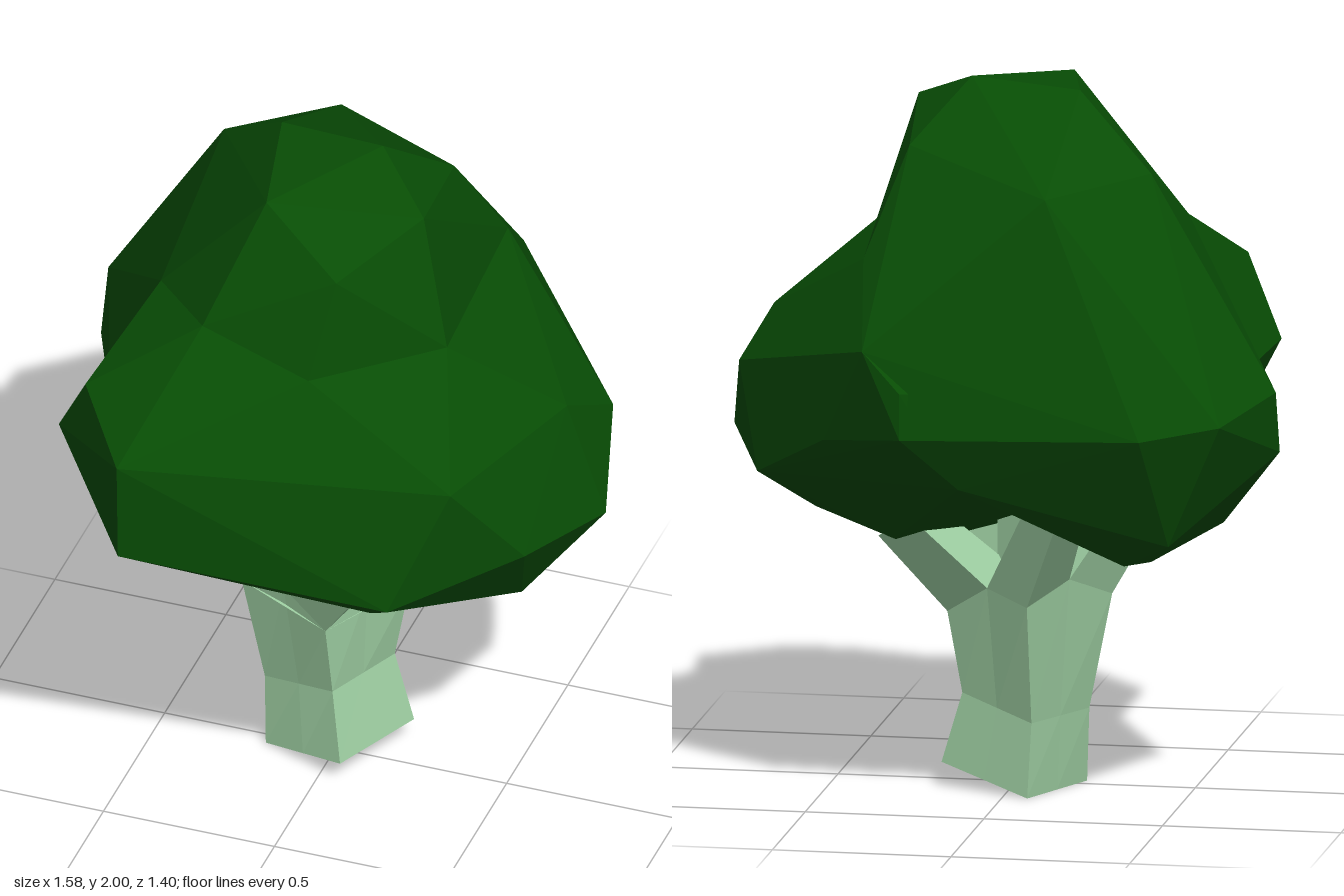
import * as THREE from 'three';
import { ConvexGeometry } from 'three/addons/geometries/ConvexGeometry.js';

const V = (p) => new THREE.Vector3(...p);

// Skin a stack of equal rings (counterclockwise from above), capping both ends.
function loft(rings) {
  const pos = [];
  const tri = (...pts) => pts.forEach((p) => pos.push(p.x, p.y, p.z));
  const n = rings[0].length;
  for (let r = 0; r < rings.length - 1; r++) {
    for (let i = 0; i < n; i++) {
      const j = (i + 1) % n, lo = rings[r], hi = rings[r + 1];
      tri(lo[i], lo[j], hi[j]);
      tri(lo[i], hi[j], hi[i]);
    }
  }
  const first = rings[0], last = rings[rings.length - 1];
  for (let i = 1; i < n - 1; i++) {
    tri(first[0], first[i + 1], first[i]);
    tri(last[0], last[i], last[i + 1]);
  }
  const g = new THREE.BufferGeometry();
  g.setAttribute('position', new THREE.Float32BufferAttribute(pos, 3));
  g.computeVertexNormals();
  return g;
}

export function createModel() {
  const model = new THREE.Group();
  model.name = 'broccoli';
  const green = new THREE.MeshStandardMaterial({ color: 0x084d05, flatShading: true });
  const pale = new THREE.MeshStandardMaterial({ color: 0x9ccca0, flatShading: true });
  const add = (name, geometry, material, parent = model) => {
    const mesh = new THREE.Mesh(geometry, material);
    mesh.name = name;
    parent.add(mesh);
  };

  // Crown: two faceted lumps that overlap and leave creases between them
  const crown = new THREE.Group();
  crown.name = 'crown';
  model.add(crown);

  const tallLump = [
    [-0.2, 1.98, -0.12], [0.11, 2, -0.08], [0.29, 1.91, 0.09], [-0.12, 1.96, 0.23],
    [0.12, 1.81, 0.33], [0.07, 1.53, 0.42], [0.39, 1.56, 0.18], [-0.25, 1.62, 0.39],
    [-0.45, 1.58, 0.17], [-0.43, 1.79, -0.29], [-0.18, 1.76, -0.55], [0.25, 1.84, -0.27],
    [0.35, 1.55, -0.43], [0.31, 1.34, -0.67], [0.2, 1.1, -0.7], [-0.47, 1.12, -0.7],
    [-0.68, 1.15, -0.61], [-0.79, 1.2, -0.35], [-0.79, 1.02, -0.29], [-0.62, 0.8, -0.22],
    [-0.45, 0.72, -0.4], [-0.37, 0.7, -0.38], [-0.52, 0.79, -0.52], [0.05, 0.95, -0.62],
    [-0.57, 1.2, 0.25], [-0.5, 0.95, 0.25],
  ];
  const wideLump = [
    [-0.39, 1.31, 0.7], [-0.39, 1.01, 0.69], [-0.67, 1.19, 0.39], [-0.56, 1.41, 0.48],
    [0.5, 1.27, 0.46], [0.35, 0.91, 0.56], [0.66, 1, 0.3], [0.79, 0.98, 0],
    [0.68, 1.32, 0.01], [0.74, 1.2, -0.2], [0.68, 0.9, -0.25], [0.58, 0.73, 0.1],
    [0.28, 0.65, 0.04], [0.2, 0.68, 0.27], [-0.49, 0.84, 0.38], [0.39, 1.56, 0.18],
    [0.07, 1.53, 0.42], [-0.25, 1.62, 0.39], [-0.45, 1.58, 0.17], [0.35, 1.55, -0.43],
    [0.31, 1.34, -0.67], [0.2, 1.23, -0.7], [0.2, 1.1, -0.7], [0.05, 0.95, -0.62],
    [0.45, 1.05, -0.5], [0.05, 0.84, -0.4], [0.3, 0.72, -0.23],
    [-0.64, 1.18, -0.1], [-0.55, 0.92, -0.1],
  ];
  add('tallCrownLump', new ConvexGeometry(tallLump.map(V)), green, crown);
  add('wideCrownLump', new ConvexGeometry(wideLump.map(V)), green, crown);

  // Stalk: four-sided, cut at a slant, flaring to a rim with raised forks between corners
  const rings = [
    [[0.07, 0.07, 0.16], [0.19, 0.07, -0.11], [-0.07, 0, -0.22], [-0.19, 0, 0.04]],
    [[0.03, 0.27, 0.11], [0.13, 0.27, -0.12], [-0.08, 0.21, -0.21], [-0.2, 0.21, 0.02]],
    [[0.02, 0.49, 0.14], [0.17, 0.5, -0.13], [-0.08, 0.55, -0.28], [-0.26, 0.53, 0.04]],
  ].map((ring) => ring.map(V));
  const withMiddles = (ring, lift) => ring.flatMap((p, i) => {
    const middle = p.clone().lerp(ring[(i + 1) % 4], 0.5);
    middle.y += lift;
    return [p, middle];
  });
  const rim = withMiddles(rings[2], 0.06);
  add('stalk', loft([withMiddles(rings[0], 0), withMiddles(rings[1], 0), rim]), pale);

  // Branches: one forks out from each top corner of the stalk
  const branches = new THREE.Group();
  branches.name = 'branches';
  model.add(branches);
  const centre = V([-0.05, 0.58, -0.06]);
  const tips = [[0.2, 0.78, 0.28], [0.35, 0.72, -0.2], [-0.18, 0.8, -0.4], [-0.44, 0.85, 0.12]].map(V);
  tips.forEach((tip, i) => {
    const corner = rim[2 * i];
    const base = [corner, rim[2 * i + 1], centre, rim[(2 * i + 7) % 8]];
    const end = base.map((p) => p.clone().sub(corner).multiplyScalar(0.8).add(tip));
    add('branch', loft([base, end]), pale, branches);
  });

  // Core: short stem rising from the fork into the crown
  const core = rings[2].map((p) => p.clone().lerp(centre, 0.6).setY(0.52));
  add('coreStem', loft([core, core.map((p) => p.clone().setY(0.86))]), pale, branches);

  return model;
}
